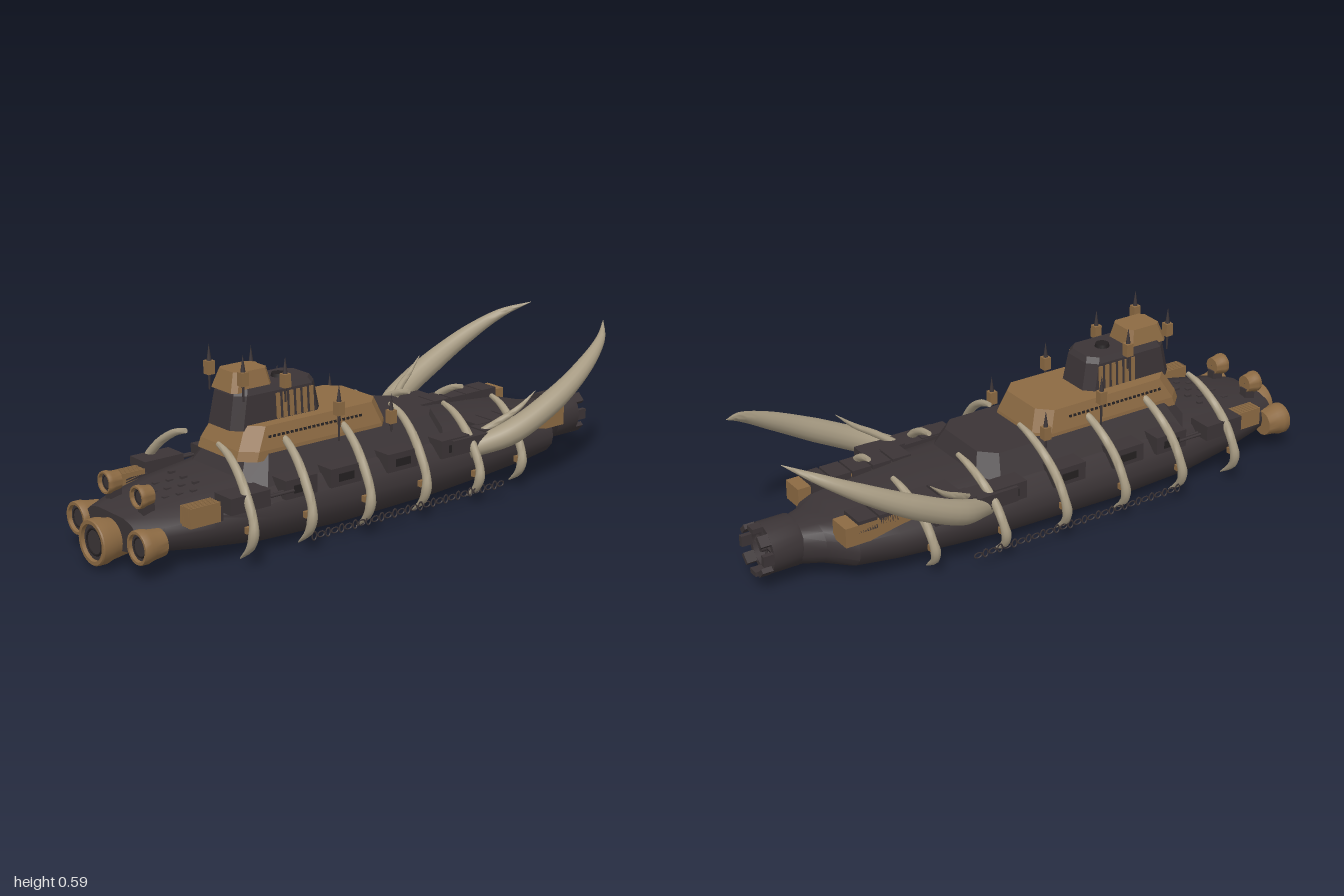
import * as THREE from 'three';
import { toCreasedNormals } from 'three/addons/utils/BufferGeometryUtils.js';

const mat = (name, color) => Object.assign(new THREE.MeshStandardMaterial({ color }), { name });
const DARK = mat('dark iron', 0x3b3436);
const BROWN = mat('bronze', 0x8c6a43);
const BONE = mat('bone', 0xa69a82);
const BLACK = mat('soot', 0x242021);
const V = (x, y, z) => new THREE.Vector3(x, y, z);

// Closed skin through rings of points (each counter-clockwise about the loft direction)
function loft(rings, crease = 0.6) {
  const n = rings[0].length, pos = [], idx = [];
  rings.forEach(r => r.forEach(p => pos.push(p.x, p.y, p.z)));
  for (let k = 0; k < rings.length - 1; k++) for (let i = 0; i < n; i++) {
    const a = k * n + i, b = k * n + (i + 1) % n;
    idx.push(a, b, b + n, a, b + n, a + n);
  }
  const last = (rings.length - 1) * n;
  for (let i = 1; i < n - 1; i++) idx.push(0, i + 1, i, last, last + i, last + i + 1);
  const g = new THREE.BufferGeometry();
  g.setAttribute('position', new THREE.Float32BufferAttribute(pos, 3));
  g.setIndex(idx);
  g.computeVertexNormals();
  return toCreasedNormals(g, crease);
}

// Eight-sided deck outline with chamfered corners
function deckRing(y, w, zf, zb, c) {
  const right = [[w - c, zf], [w, zf - c], [w, zb + c], [w - c, zb]];
  return [...right.map(([x, z]) => V(x, y, z)), ...right.reverse().map(([x, z]) => V(-x, y, z))];
}

// Curved horn with varying radius
function horn(points, radii, steps = 20, sides = 10) {
  const curve = new THREE.CatmullRomCurve3(points);
  const f = curve.computeFrenetFrames(steps);
  const rings = [];
  for (let k = 0; k <= steps; k++) {
    const t = k / steps * (radii.length - 1), i = Math.min(Math.floor(t), radii.length - 2);
    const r = THREE.MathUtils.lerp(radii[i], radii[i + 1], t - i), p = curve.getPoint(k / steps);
    rings.push(Array.from({ length: sides }, (_, j) => {
      const a = j / sides * Math.PI * 2;
      return p.clone().addScaledVector(f.normals[k], r * Math.cos(a)).addScaledVector(f.binormals[k], r * Math.sin(a));
    }));
  }
  return loft(rings, 1.1);
}

export function createModel() {
  const model = new THREE.Group();
  model.name = 'boneShip';
  const add = (name, geo, m, x = 0, y = 0, z = 0, parent = model) => {
    const mesh = new THREE.Mesh(geo, m);
    mesh.name = name;
    mesh.position.set(x, y, z);
    parent.add(mesh);
    return mesh;
  };
  const box = (name, m, w, h, d, x, y, z) => add(name, new THREE.BoxGeometry(w, h, d), m, x, y, z);

  // Hull: z, half width, bottom, top
  const stations = [[-0.88, 0.075, 0.06, 0.18], [-0.8, 0.11, 0.05, 0.185], [-0.73, 0.19, 0.04, 0.2], [-0.6, 0.215, 0.03, 0.21],
    [-0.4, 0.24, 0.02, 0.225], [-0.2, 0.252, 0.01, 0.23], [0.2, 0.255, 0.003, 0.23], [0.5, 0.245, 0.012, 0.225],
    [0.7, 0.215, 0.033, 0.205], [0.85, 0.175, 0.05, 0.185], [0.93, 0.14, 0.062, 0.168]];
  const half = [[0.4, 0], [0.65, 0.05], [0.85, 0.17], [0.97, 0.34], [1, 0.52], [0.96, 0.72], [0.8, 0.9], [0.5, 1]];
  add('hull', loft(stations.map(([z, w, b, t]) => {
    const r = half.map(([u, v]) => V(u * w, b + v * (t - b), z));
    return [...r, ...r.slice().reverse().map(p => V(-p.x, p.y, z))];
  })), DARK);

  // Stepped superstructure
  add('casemate', loft([deckRing(0.19, 0.205, 0.56, -0.29, 0.06), deckRing(0.29, 0.145, 0.5, -0.25, 0.05)], 0.1), DARK);
  add('upperDeck', loft([deckRing(0.27, 0.147, 0.54, -0.05, 0.045), deckRing(0.3, 0.145, 0.53, -0.045, 0.045),
    deckRing(0.37, 0.125, 0.49, -0.02, 0.045)], 0.1), BROWN);
  add('tower', loft([deckRing(0.355, 0.086, 0.53, 0.18, 0.03), deckRing(0.46, 0.08, 0.51, 0.2, 0.03),
    deckRing(0.478, 0.07, 0.5, 0.21, 0.03)], 0.1), DARK);
  add('bridge', loft([deckRing(0.47, 0.066, 0.52, 0.365, 0.015), deckRing(0.53, 0.051, 0.5, 0.375, 0.015)], 0.1), BROWN);
  add('towerHatch', new THREE.CylinderGeometry(0.022, 0.025, 0.012, 12), BLACK, 0, 0.483, 0.3);

  // Row of muzzles on the bow
  const muzzle = (x, y, z, r, len) => {
    const g = new THREE.Group();
    g.name = 'muzzle';
    g.position.set(x, y, z);
    g.rotation.x = Math.PI / 2;
    model.add(g);
    const prof = [[0.001, -len], [0.8 * r, -len], [0.9 * r, -len * 0.5], [r, -len * 0.3], [r, -0.004], [0.96 * r, 0],
      [0.8 * r, 0], [0.76 * r, -0.02]].map(p => new THREE.Vector2(...p));
    add('muzzleShell', toCreasedNormals(new THREE.LatheGeometry(prof, 28), 0.6), BROWN, 0, 0, 0, g);
    add('muzzleCore', new THREE.CylinderGeometry(0.8 * r, 0.76 * r, 0.012, 28), DARK, 0, -0.018, 0, g);
    const ring = add('muzzleRing', new THREE.TorusGeometry(0.56 * r, 0.05 * r, 6, 28), BLACK, 0, -0.012, 0, g);
    ring.rotation.x = Math.PI / 2;
  };
  muzzle(0, 0.088, 1, 0.072, 0.11);

  // Stern nozzle with notched rim and propeller
  const nozzle = new THREE.Group();
  nozzle.name = 'nozzle';
  nozzle.position.set(0, 0.127, -0.87);
  nozzle.rotation.x = -Math.PI / 2;
  model.add(nozzle);
  const tube = [[0.001, -0.01], [0.08, -0.01], [0.083, 0], [0.083, 0.095], [0.066, 0.095], [0.066, 0.02], [0.001, 0.02]];
  add('nozzleShell', toCreasedNormals(new THREE.LatheGeometry(tube.map(p => new THREE.Vector2(...p)), 28), 0.6), DARK, 0, 0, 0, nozzle);
  add('propellerHub', new THREE.CylinderGeometry(0.012, 0.016, 0.08, 12), DARK, 0, 0.06, 0, nozzle);
  for (let i = 0; i < 8; i++) {
    const a = i * Math.PI / 4;
    const tooth = add('rimTooth', new THREE.BoxGeometry(0.036, 0.036, 0.016), DARK, 0.074 * Math.sin(a), 0.112, 0.074 * Math.cos(a), nozzle);
    tooth.rotation.y = a;
    if (i % 2) continue;
    const blade = add('propellerBlade', new THREE.BoxGeometry(0.022, 0.008, 0.06), DARK, 0.036 * Math.sin(a), 0.08, 0.036 * Math.cos(a), nozzle);
    blade.rotation.set(0, a, 0.5, 'YXZ');
  }

  const ribPath = [[0.085, 0.335, -0.025], [0.14, 0.318, -0.02], [0.21, 0.272, -0.01], [0.265, 0.212, 0], [0.3, 0.15, 0.005],
    [0.307, 0.11, 0.01], [0.293, 0.07, 0.012], [0.238, 0.02, 0.01]];
  const ribs = [[0.62, 1, 1], [0.4, 1, 1], [0.17, 1, 1], [-0.06, 1, 1], [-0.29, 1, 0.88], [-0.52, 0.86, 0.82]];

  for (const s of [1, -1]) {
    muzzle(s * 0.167, 0.107, 0.95, 0.053, 0.085);
    muzzle(s * 0.088, 0.23, 0.895, 0.036, 0.05);
    box('muzzleMount', DARK, 0.03, 0.05, 0.04, s * 0.088, 0.19, 0.86);

    // Ribs with bronze clamps
    for (const [z, sx, sy] of ribs) {
      add('rib', horn(ribPath.map(p => V(s * p[0] * sx, p[1] * sy, z + p[2])),
        [0.008, 0.012, 0.014, 0.015, 0.014, 0.017, 0.013, 0.002]), BONE);
      box('ribClamp', BROWN, 0.014, 0.02, 0.03, s * 0.288 * sx, 0.125 * sy, z + 0.01);
    }

    // Swept tusk and its spur
    add('tusk', horn([V(s * 0.225, 0.17, -0.3), V(s * 0.285, 0.215, -0.43), V(s * 0.305, 0.3, -0.61), V(s * 0.287, 0.385, -0.77),
      V(s * 0.243, 0.45, -0.89), V(s * 0.177, 0.489, -0.97)], [0.03, 0.041, 0.039, 0.029, 0.016, 0.001], 28, 14), BONE);
    add('tuskSpur', horn([V(s * 0.215, 0.21, -0.35), V(s * 0.255, 0.255, -0.42), V(s * 0.275, 0.29, -0.48), V(s * 0.289, 0.34, -0.54)],
      [0.012, 0.012, 0.009, 0.001], 12, 8), BONE);

    // Broadside boxes between the ribs
    for (const [z, d] of [[0.405, 0.12], [0.23, 0.12], [0, 0.12], [-0.225, 0.12], [-0.425, 0.15]]) {
      box('sideBox', DARK, 0.07, 0.06, d, s * 0.215, 0.2, z);
      box('sidePort', BLACK, 0.012, 0.025, d * 0.5, s * 0.247, 0.198, z);
    }
    box('foreTurret', DARK, 0.085, 0.052, 0.145, s * 0.227, 0.2, 0.61);
    box('aftTurret', DARK, 0.085, 0.05, 0.15, s * 0.22, 0.2, -0.28);
    for (const x of [0.235, 0.25]) {
      const barrel = add('barrel', new THREE.CylinderGeometry(0.005, 0.005, 0.09, 8), DARK, s * x, 0.195, 0.48);
      barrel.rotation.x = Math.PI / 2;
    }

    // Bronze grille beside the bow
    for (let i = 0; i < 6; i++) box('grilleFin', BROWN, 0.004, 0.062, 0.11, s * (0.177 + i * 0.0096), 0.178, 0.745);
    box('grilleBed', DARK, 0.05, 0.045, 0.08, s * 0.2, 0.17, 0.72);

    // Aft deck lockers
    box('aftLocker', BROWN, 0.08, 0.065, 0.25, s * 0.15, 0.188, -0.653);
    for (let i = 0; i < 5; i++) box('deckLocker', DARK, 0.088, 0.04, 0.066, s * 0.146, 0.212, -0.7 + i * 0.073);

    // Window row and wall ribs on the upper deck
    for (let i = 0; i < 22; i++) {
      const w = box('window', BLACK, 0.006, 0.008, 0.009, s * 0.1345, 0.338, 0.08 + i * 0.017);
      w.rotation.z = s * 0.28;
    }
    // Bronze slats on the tower
    for (let i = 0; i < 6; i++) {
      const slat = box('towerSlat', BROWN, 0.008, 0.08, 0.014, s * 0.083, 0.412, 0.235 + i * 0.026);
      slat.rotation.z = s * 0.06;
    }

    // Spired lanterns: x, box bottom, z, post foot
    for (const [x, y, z, foot] of [[0.088, 0.5, 0.5, 0.45], [0.088, 0.467, 0.34, 0.42], [0.158, 0.365, 0.185, 0.28], [0.156, 0.297, -0.03, 0.25]]) {
      box('lantern', BROWN, 0.026, 0.043, 0.026, s * x, y + 0.0215, z);
      add('lanternSpire', new THREE.ConeGeometry(0.008, 0.056, 8), DARK, s * x, y + 0.07, z);
      add('lanternPost', new THREE.CylinderGeometry(0.005, 0.003, y - foot, 6), DARK, s * x, (y + foot) / 2, z);
    }

    // Chain slung along the ribs
    for (let i = 0; i < 30; i++) {
      const link = add('chainLink', new THREE.TorusGeometry(0.009, 0.0022, 5, 10), DARK, s * 0.3, 0.055, -0.38 + i * 0.0268);
      link.rotation.set(i % 2 ? Math.PI / 2 : 0, Math.PI / 2, 0);
      link.scale.x = 1.5;
    }
  }

  // Small foredeck fittings
  for (let i = 0; i < 12; i++) {
    box('deckFitting', DARK, 0.014, 0.014, 0.02, ((i * 7) % 12 - 5.5) * 0.016, 0.21 - (i % 4) * 0.006, 0.65 + (i % 4) * 0.04);
  }
  return model;
}
